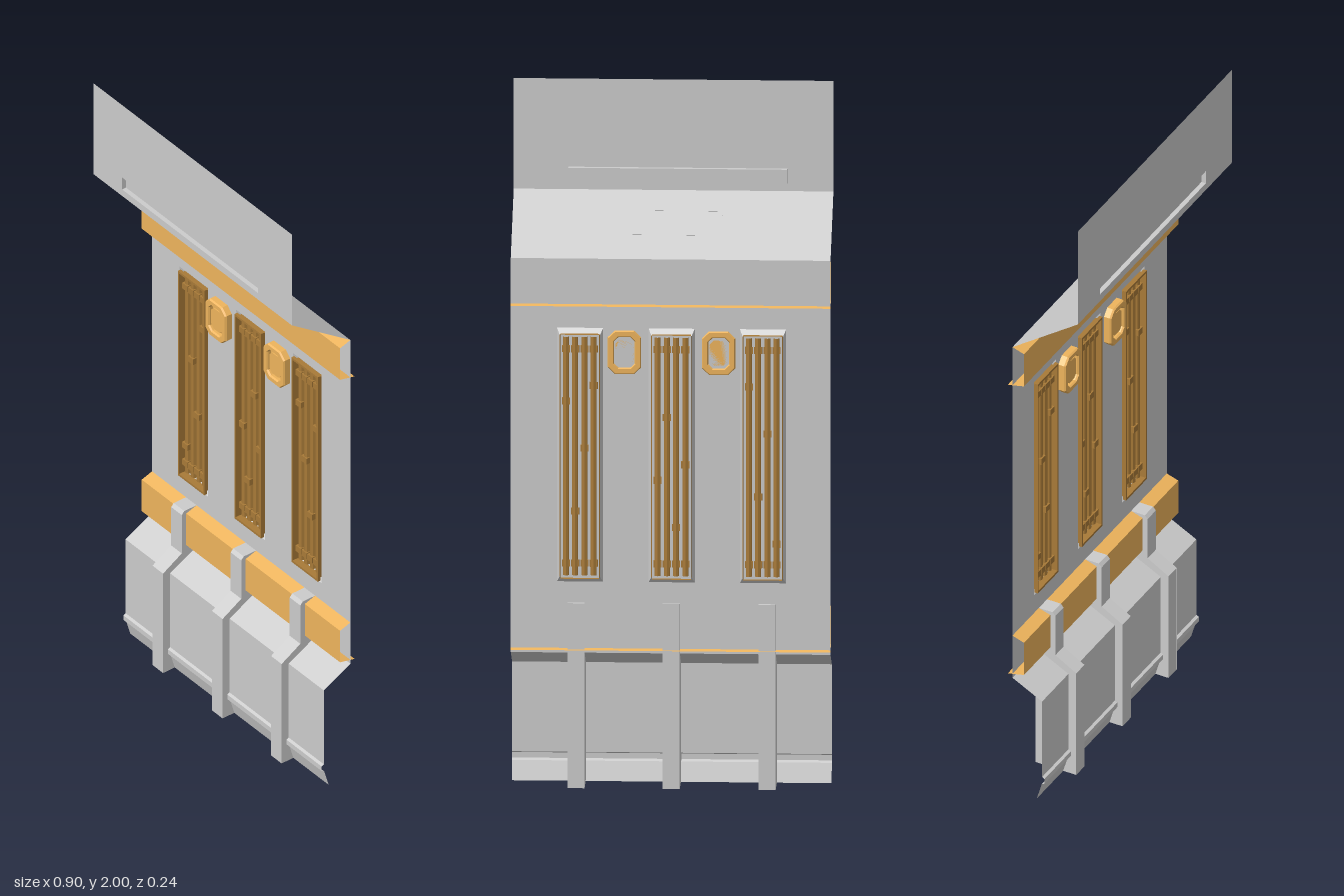
import * as THREE from 'three';

const material = (color) => new THREE.MeshStandardMaterial({ color, flatShading: true, side: THREE.DoubleSide });
const grey = material(0xcccccc);
const orange = material(0xeeb45c);
const brown = material(0xa87a38);
const HALF = 0.45, WALL_Z = -0.09;

function add(parent, name, geometry, mat, x = 0, y = 0, z = 0) {
  const mesh = new THREE.Mesh(geometry, mat);
  mesh.name = name;
  mesh.position.set(x, y, z);
  parent.add(mesh);
  return mesh;
}

// Joins rings of points (equal length) with quads
function skin(rings, closed) {
  const n = rings[0].length, index = [];
  for (let r = 0; r < rings.length - 1; r++) {
    for (let i = 0; i < (closed ? n : n - 1); i++) {
      const a = r * n + i, b = r * n + (i + 1) % n;
      index.push(a, b, b + n, a, b + n, a + n);
    }
  }
  const g = new THREE.BufferGeometry();
  g.setAttribute('position', new THREE.Float32BufferAttribute(rings.flat(2), 3));
  g.setIndex(index);
  const flat = g.toNonIndexed();
  flat.computeVertexNormals();
  return flat;
}

// Open sheet: a [z, y] profile swept across the full width
const sheet = (profile) => skin(profile.map(([z, y]) => [[-HALF, y, z], [HALF, y, z]]), false);

// Rectangular sections [half width, half height, z] joined in order
const loft = (sections) => skin(sections.map(([w, h, z]) =>
  [[-w, -h, z], [w, -h, z], [w, h, z], [-w, h, z]]), true);

function rectangle(x0, x1, y0, y1, Type = THREE.Shape) {
  return new Type([[x0, y0], [x1, y0], [x1, y1], [x0, y1]].map((p) => new THREE.Vector2(...p)));
}

function octagon(w, h, cut, Type = THREE.Shape) {
  return new Type([[w, -h + cut], [w, h - cut], [w - cut, h], [cut - w, h],
    [-w, h - cut], [-w, cut - h], [cut - w, -h], [w - cut, -h]].map((p) => new THREE.Vector2(...p)));
}

// Recessed bay with vertical pipes
function pipeBay(x, seed) {
  const bay = new THREE.Group();
  bay.name = 'pipeBay';
  bay.position.set(x, 0.963, 0);
  add(bay, 'bayBevel', loft([[0.065, 0.367, WALL_Z], [0.057, 0.35, -0.105]]), grey);
  add(bay, 'bayRim', loft([[0.06, 0.36, -0.09], [0.06, 0.36, -0.08], [0.055, 0.353, -0.08],
    [0.055, 0.353, -0.118]]), brown);
  add(bay, 'bayBack', loft([[0.055, 0.353, -0.105], [0, 0, -0.105]]), grey);
  for (let i = 0; i < 4; i++) {
    const px = (i - 1.5) * 0.026;
    add(bay, 'pipe', new THREE.CylinderGeometry(0.01, 0.01, 0.69, 8, 1, true), brown, px, 0, -0.101);
    // couplings near the ends and at a varied height
    const mid = ((i * 7 + seed * 5) % 11) / 11 * 0.5 - 0.25;
    for (const y of [-0.31, mid, 0.31]) {
      add(bay, 'pipeCoupling', new THREE.BoxGeometry(0.023, 0.02, 0.02), brown, px, y, -0.098);
    }
  }
  return bay;
}

// Octagonal wall plate with a sunken centre
function wallPlate(x) {
  const plate = new THREE.Group();
  plate.name = 'wallPlate';
  plate.position.set(x, 1.26, WALL_Z);
  const rim = octagon(0.044, 0.06, 0.018);
  rim.holes.push(octagon(0.032, 0.047, 0.014, THREE.Path));
  add(plate, 'plateRim', new THREE.ExtrudeGeometry(rim, {
    depth: 0.018, bevelThickness: 0.005, bevelSize: 0.003, bevelSegments: 1 }), orange);
  add(plate, 'plateFloor', new THREE.ShapeGeometry(octagon(0.034, 0.049, 0.014)), orange, 0, 0, 0.008);
  add(plate, 'plateCentre', new THREE.ExtrudeGeometry(octagon(0.025, 0.036, 0.011), {
    depth: 0.017, bevelEnabled: false }), orange);
  return plate;
}

export function createModel() {
  const model = new THREE.Group();
  model.name = 'wallSection';
  const bays = [-0.26, -0.003, 0.255];

  // Main wall, pierced for the bays
  const wall = rectangle(-HALF, HALF, 0.39, 1.53);
  for (const x of bays) wall.holes.push(rectangle(x - 0.065, x + 0.065, 0.596, 1.33, THREE.Path));
  add(model, 'wall', new THREE.ShapeGeometry(wall), grey, 0, 0, WALL_Z);
  bays.forEach((x, i) => model.add(pipeBay(x, i)));
  for (const x of [-0.135, 0.13]) model.add(wallPlate(x));

  // Upper and lower trim bands
  for (const y of [0.4, 1.395]) {
    add(model, 'trimBand', sheet([[WALL_Z, y + 0.135], [-0.053, y + 0.123],
      [-0.053, y + 0.012], [-0.105, y]]), orange);
  }

  // Skirting with its kick strip
  add(model, 'skirting', sheet([[WALL_Z, 0.39], [0.005, 0.34], [0.005, 0.08], [0.013, 0.076],
    [0.013, 0.06], [0.004, 0.055], [-0.012, 0]]), grey);

  // Buttress ribs
  const ribShape = new THREE.Shape([[-0.1, 0], [0.03, 0], [0.03, 0.35], [-0.037, 0.39],
    [-0.037, 0.525], [-0.046, 0.535], [-0.1, 0.535]].map(([z, y]) => new THREE.Vector2(-z, y)));
  for (const x of [-0.272, -0.002, 0.266]) {
    const g = new THREE.ExtrudeGeometry(ribShape, { depth: 0.048, bevelEnabled: false });
    g.translate(0, 0, -0.024).rotateY(Math.PI / 2);
    add(model, 'rib', g, grey, x);
  }

  // Sloped soffit with its light
  add(model, 'soffit', sheet([[0.12, 1.68], [WALL_Z, 1.53]]), grey);
  const light = add(model, 'soffitLight', loft([[0.13, 0.045, 0], [0.13, 0.045, 0.013],
    [0.117, 0.033, 0.013], [0.105, 0.022, 0.003], [0, 0, 0.003]]), grey, -0.01, 1.609, 0.02);
  light.rotation.x = Math.atan2(0.21, 0.15);

  // Top fascia with a shallow slot
  const fascia = rectangle(-HALF, HALF, 1.68, 2);
  fascia.holes.push(rectangle(-0.32, 0.296, 1.703, 1.745, THREE.Path));
  add(model, 'fascia', new THREE.ShapeGeometry(fascia), grey, 0, 0, 0.12);
  add(model, 'fasciaSlot', loft([[0.308, 0.021, 0.12], [0.308, 0.021, 0.106], [0, 0, 0.106]]),
    grey, -0.012, 1.724, 0);

  return model;
}
